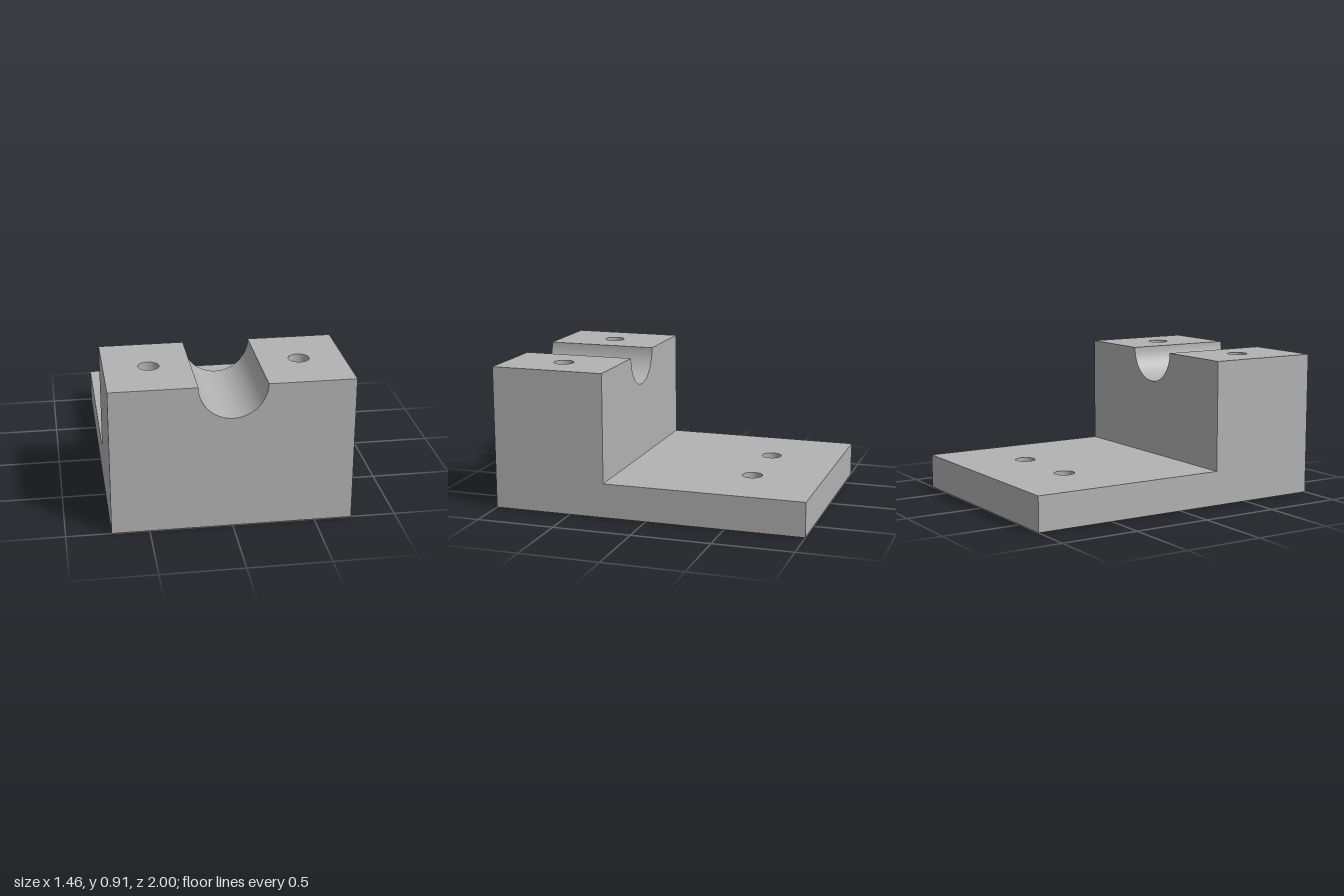
import * as THREE from 'three';

const W = 0.728, H = 0.91, T = 0.218, STEP = 0.275; // half width, block height, plate thickness, step position
const GROOVE = 0.205, HOLE = 0.064, HEX = 0.117, POCKET = 0.09;
const PLATE_HOLE = { x: 0.254, z: -0.55 }, BLOCK_HOLE = { x: 0.455, z: 0.635 };

export function createModel() {
  const group = new THREE.Group();
  const grey = new THREE.MeshStandardMaterial({ color: 0xb2b2b2, side: THREE.DoubleSide });
  grey.name = 'grey';

  function add(name, geometry, x = 0, y = 0, z = 0) {
    const mesh = new THREE.Mesh(geometry, grey);
    mesh.name = name;
    mesh.position.set(x, y, z);
    group.add(mesh);
  }

  const polygon = (points) => new THREE.Shape(points.map(([x, y]) => new THREE.Vector2(x, y)));
  const rect = (x0, x1, y0, y1) => polygon([[x0, y0], [x1, y0], [x1, y1], [x0, y1]]);
  const circle = (x, y) => new THREE.Path().absarc(x, y, HOLE, 0, Math.PI * 2, false);
  const hexagon = (x, y) => polygon(Array.from({ length: 6 }, (_, i) => {
    const a = i * Math.PI / 3;
    return [x + HEX * Math.cos(a), y + HEX * Math.sin(a)];
  }));
  const face = (shape) => new THREE.ShapeGeometry(shape, 24);
  const up = (shape) => face(shape).rotateX(-Math.PI / 2); // shape y is -z
  const down = (shape) => face(shape).rotateX(Math.PI / 2); // shape y is z

  // Wall with the half-round notch in its top edge
  function notchedWall(bottom) {
    const s = new THREE.Shape();
    s.moveTo(-W, bottom);
    s.lineTo(W, bottom);
    s.lineTo(W, H);
    s.lineTo(GROOVE, H);
    s.absarc(0, H, GROOVE, 0, -Math.PI, true);
    s.lineTo(-W, H);
    s.closePath();
    return face(s);
  }

  // Front, step and rear walls
  add('frontWall', notchedWall(0), 0, 0, 1);
  add('stepWall', notchedWall(T).rotateY(Math.PI), 0, 0, STEP);
  add('rearWall', face(rect(-W, W, 0, T)).rotateY(Math.PI), 0, 0, -1);

  // Underside and plate top
  const underside = rect(-W, W, -1, 1);
  const plateTop = rect(-W, W, -STEP, 1);
  for (const s of [-1, 1]) {
    underside.holes.push(circle(s * PLATE_HOLE.x, PLATE_HOLE.z), hexagon(s * BLOCK_HOLE.x, BLOCK_HOLE.z));
    plateTop.holes.push(circle(s * PLATE_HOLE.x, -PLATE_HOLE.z));
  }
  add('underside', down(underside));
  add('plateTop', up(plateTop), 0, T, 0);

  // Half-round groove along the block
  const groove = new THREE.CylinderGeometry(GROOVE, GROOVE, 1 - STEP, 48, 1, true, -Math.PI / 2, Math.PI);
  add('groove', groove.rotateX(Math.PI / 2), 0, H, (1 + STEP) / 2);

  // Mirrored parts: sides, block tops, bores and nut pockets
  for (const s of [-1, 1]) {
    const side = s > 0 ? 'left' : 'right';
    const profile = polygon([[-1, 0], [1, 0], [1, T], [-STEP, T], [-STEP, H], [-1, H]]
      .map(([x, y]) => [s * x, y]));
    add(side + 'Side', face(profile).rotateY(s * Math.PI / 2), s * W, 0, 0);

    const top = s > 0 ? rect(GROOVE, W, -1, -STEP) : rect(-W, -GROOVE, -1, -STEP);
    top.holes.push(circle(s * BLOCK_HOLE.x, -BLOCK_HOLE.z));
    add(side + 'BlockTop', up(top), 0, H, 0);

    add(side + 'PlateBore', new THREE.CylinderGeometry(HOLE, HOLE, T, 48, 1, true),
      s * PLATE_HOLE.x, T / 2, PLATE_HOLE.z);
    add(side + 'BlockBore', new THREE.CylinderGeometry(HOLE, HOLE, H - POCKET, 48, 1, true),
      s * BLOCK_HOLE.x, (H + POCKET) / 2, BLOCK_HOLE.z);

    const pocket = new THREE.CylinderGeometry(HEX, HEX, POCKET, 6, 1, true, Math.PI / 2).toNonIndexed();
    pocket.computeVertexNormals();
    add(side + 'NutPocketWalls', pocket, s * BLOCK_HOLE.x, POCKET / 2, BLOCK_HOLE.z);
    const ceiling = hexagon(0, 0);
    ceiling.holes.push(circle(0, 0));
    add(side + 'NutPocketCeiling', down(ceiling), s * BLOCK_HOLE.x, POCKET, BLOCK_HOLE.z);
  }
  return group;
}
